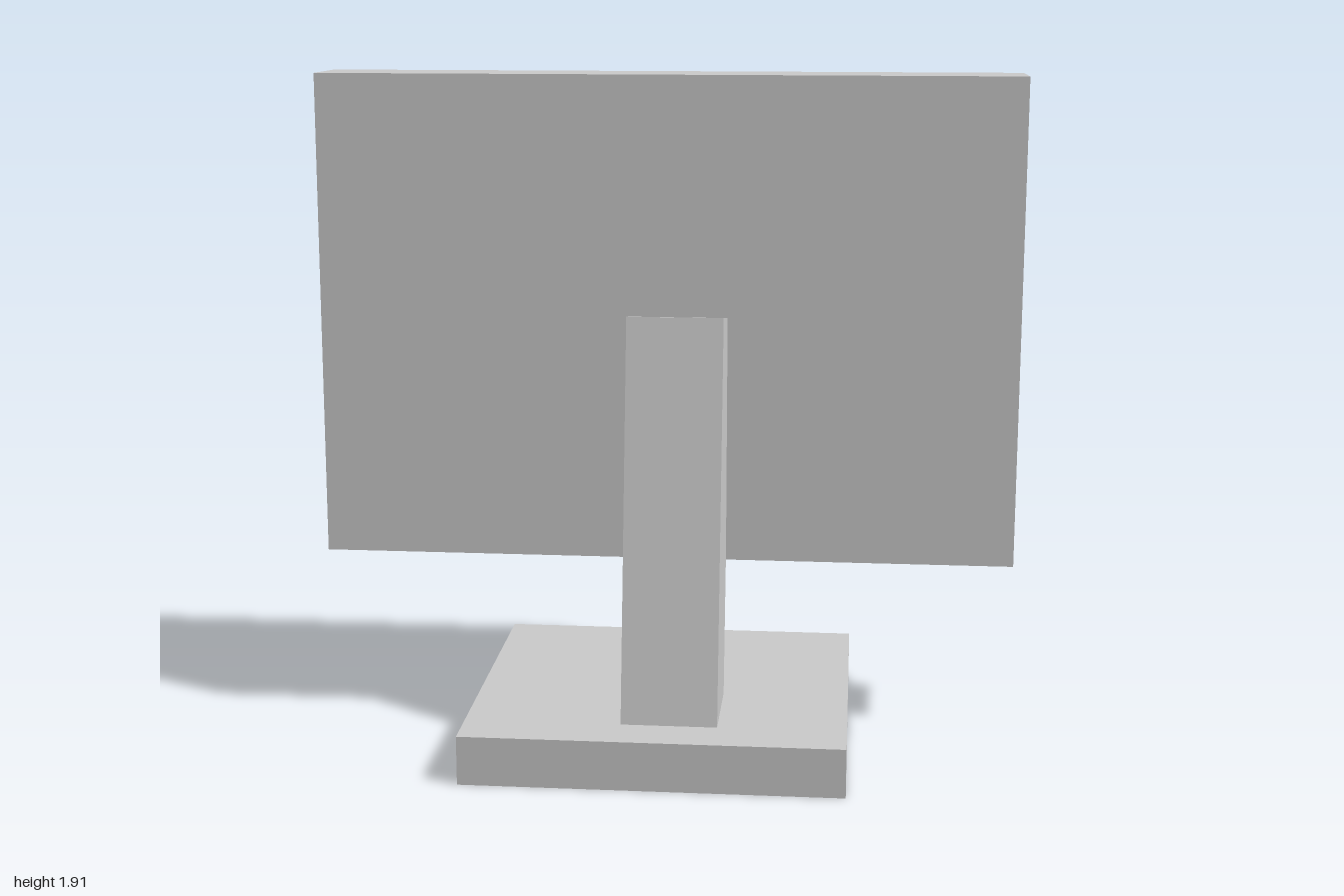
import * as THREE from 'three';

const grey = new THREE.MeshStandardMaterial({ color: 0xcccccc });
grey.name = 'plain grey';

// Eight-point outline of a rectangle with corners cut by cx, cy (0 keeps them square)
function ring(hw, hh, z, cx = 0, cy = 0) {
  return [
    [hw, -hh + cy], [hw, hh - cy], [hw - cx, hh], [-hw + cx, hh],
    [-hw, hh - cy], [-hw, -hh + cy], [-hw + cx, -hh], [hw - cx, -hh],
  ].map(([x, y]) => new THREE.Vector3(x, y, z));
}

// Flat-faced geometry from triangles, skipping those without area
function fromTriangles(tris) {
  const points = tris.filter((t) => new THREE.Triangle(...t).getArea() > 1e-7).flat();
  const geo = new THREE.BufferGeometry().setFromPoints(points);
  geo.computeVertexNormals();
  return geo;
}

// Surface joining consecutive outlines
function bridge(rings) {
  const tris = [];
  for (let k = 0; k + 1 < rings.length; k++) {
    const a = rings[k], b = rings[k + 1];
    for (let i = 0; i < 8; i++) {
      const j = (i + 1) % 8;
      tris.push([a[i], b[i], b[j]], [a[i], b[j], a[j]]);
    }
  }
  return tris;
}

// Fan closing an outline
function cap(r, flip) {
  const c = new THREE.Vector3(0, 0, r[0].z);
  return r.map((p, i) => {
    const q = r[(i + 1) % 8];
    return flip ? [c, q, p] : [c, p, q];
  });
}

function addMesh(parent, name, geometry) {
  const mesh = new THREE.Mesh(geometry, grey);
  mesh.name = name;
  parent.add(mesh);
  return mesh;
}

export function createModel() {
  const model = new THREE.Group();
  model.name = 'monitor';

  // Base slab
  addMesh(model, 'base', new THREE.BoxGeometry(1.07, 0.14, 1)).position.y = 0.07;

  // Leaning stand: side profile drawn in (z, y), extruded across x
  const profile = new THREE.Shape([
    [0.365, 0.14], [0.085, 0.14], [-0.1, 1.215], [0.18, 1.262],
  ].map(([z, y]) => new THREE.Vector2(-z, y)));
  const standGeo = new THREE.ExtrudeGeometry(profile, { depth: 0.27, bevelEnabled: false });
  standGeo.rotateY(Math.PI / 2);
  standGeo.translate(-0.095, 0, 0);
  addMesh(model, 'stand', standGeo);

  // Display, tilted slightly, with its recessed screen facing -z
  const display = new THREE.Group();
  display.name = 'display';
  display.position.set(0, 1.2175, -0.115);
  display.rotation.x = -0.013;
  model.add(display);

  const t = 0.1215;
  const back = ring(1, 0.695, t);
  const rim = ring(1, 0.695, -t);
  const opening = ring(0.878, 0.607, -t);
  const floor = ring(0.828, 0.567, -t + 0.058, 0.095, 0.062);
  addMesh(display, 'casing', fromTriangles([...cap(back, false), ...bridge([back, rim, opening])]));
  addMesh(display, 'recessWalls', fromTriangles(bridge([opening, floor])));
  addMesh(display, 'screen', fromTriangles(cap(floor, true)));

  return model;
}
